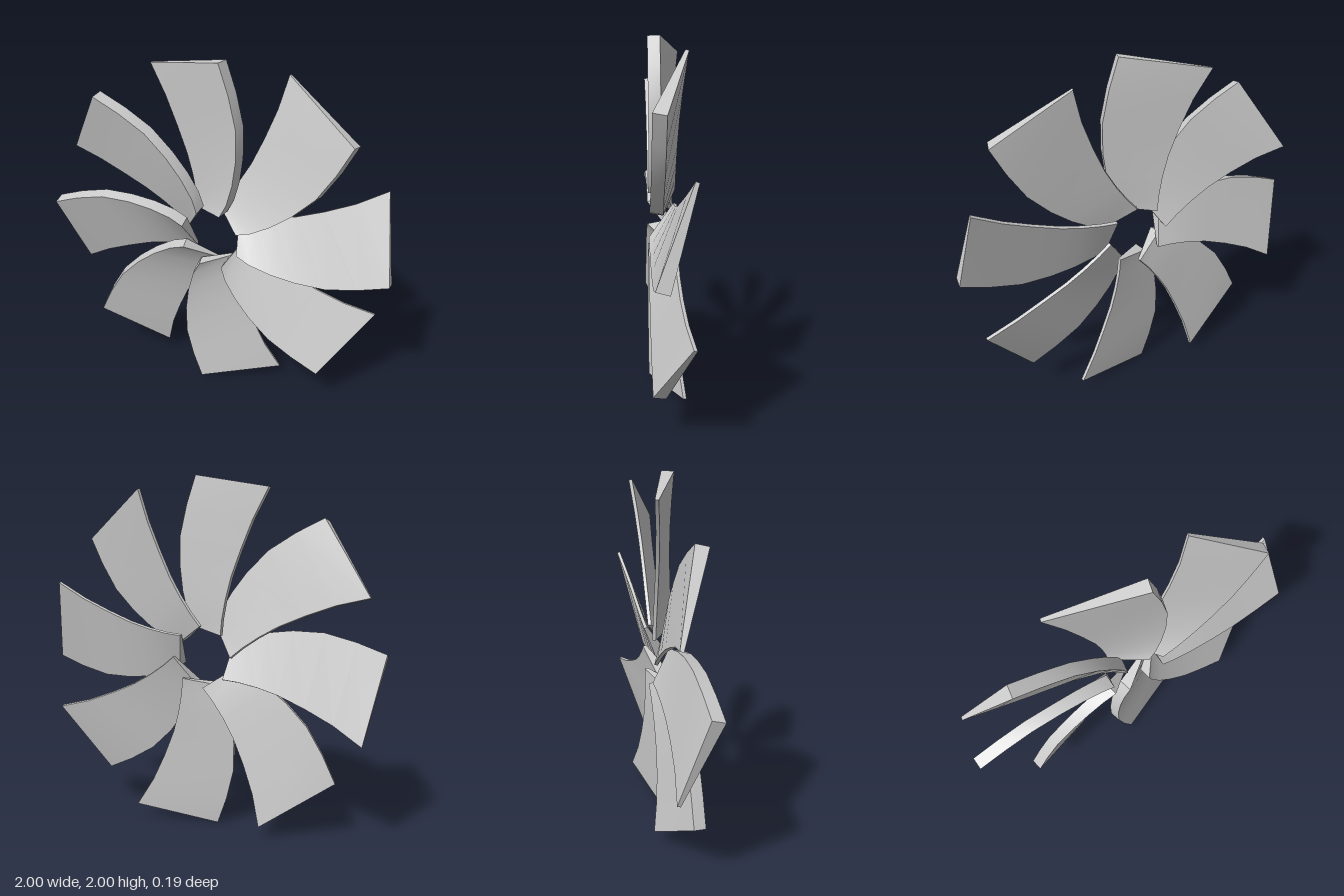
import * as THREE from 'three';
import { toCreasedNormals } from 'three/addons/utils/BufferGeometryUtils.js';

const BLADES = 8;

// Blade stations from tip to root:
// leading edge x, y | trailing edge x, y, z | back z of the leading edge
const STATIONS = [
  [0.052, 0.998, -0.403, 0.912, -0.078, 0.03],
  [0.107, 0.84, -0.31, 0.755, -0.055, 0.03],
  [0.148, 0.67, -0.24, 0.6, -0.042, 0.03],
  [0.15, 0.5, -0.182, 0.45, -0.036, 0.03],
  [0.132, 0.36, -0.15, 0.33, -0.035, 0.026],
  [0.1, 0.24, -0.13, 0.22, -0.036, 0.022],
  [0.06, 0.163, -0.122, 0.128, -0.038, 0.018],
];

// Tapered four-cornered section: thick leading edge, thin trailing edge
function section([lx, ly, tx, ty, tz, lz]) {
  return [
    [lx, ly, 0.096],
    [tx, ty, tz],
    [tx + 0.006, ty + 0.001, tz - 0.018],
    [lx + 0.018, ly + 0.003, lz],
  ];
}

function bladeGeometry() {
  const rings = STATIONS.map(section);
  const positions = [];
  const quad = (a, b, c, d) => positions.push(...a, ...b, ...c, ...a, ...c, ...d);

  // Skin between neighbouring sections
  for (let i = 0; i < rings.length - 1; i++) {
    for (let j = 0; j < 4; j++) {
      const k = (j + 1) % 4;
      quad(rings[i][j], rings[i][k], rings[i + 1][k], rings[i + 1][j]);
    }
  }
  // Tip and root caps
  const tip = rings[0];
  const root = rings[rings.length - 1];
  quad(tip[0], tip[3], tip[2], tip[1]);
  quad(root[0], root[1], root[2], root[3]);

  const geometry = new THREE.BufferGeometry();
  geometry.setAttribute('position', new THREE.Float32BufferAttribute(positions, 3));
  return toCreasedNormals(geometry, 0.5);
}

export function createModel() {
  const model = new THREE.Group();
  model.name = 'fanRotor';
  const material = new THREE.MeshStandardMaterial({ color: 0xcccccc });
  const geometry = bladeGeometry();

  // Ring of identical swept blades around the open centre
  const ring = new THREE.Group();
  ring.name = 'bladeRing';
  ring.position.y = 1;
  for (let i = 0; i < BLADES; i++) {
    const blade = new THREE.Mesh(geometry, material);
    blade.name = `blade${i + 1}`;
    blade.rotation.z = (i / BLADES) * Math.PI * 2;
    ring.add(blade);
  }
  model.add(ring);
  return model;
}
